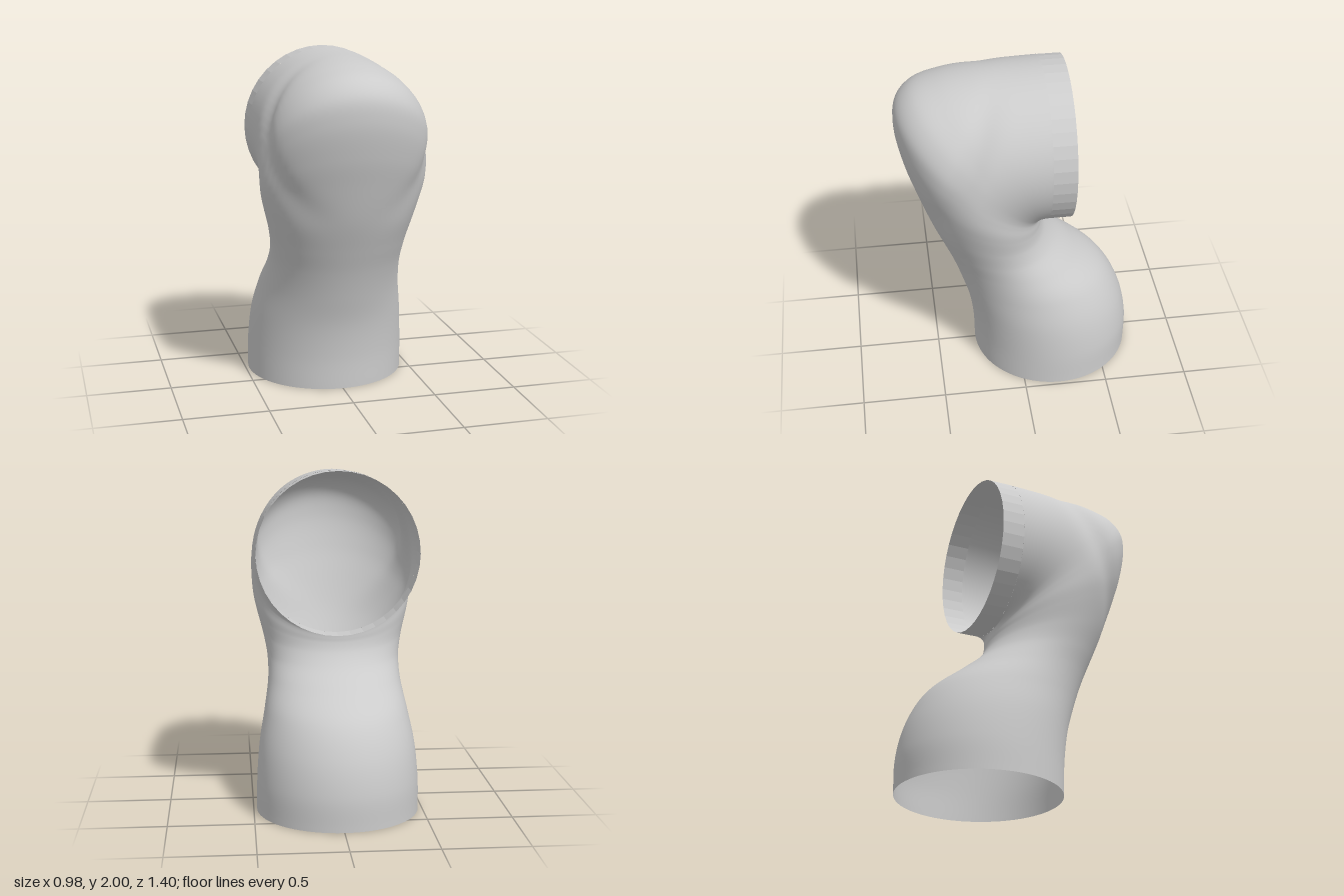
import * as THREE from 'three';

// Each row pairs a point on the outer (front) profile with one on the inner (back) profile:
// [outer z, outer y, inner z, inner y, half width]
const SECTIONS = [
  [0.262, 0, -0.698, 0, 0.48],
  [0.268, 0.2, -0.697, 0.2, 0.477],
  [0.295, 0.4, -0.65, 0.4, 0.46],
  [0.345, 0.58, -0.55, 0.58, 0.427],
  [0.4, 0.745, -0.36, 0.74, 0.4],
  [0.458, 0.89, -0.23, 0.85, 0.4],
  [0.537, 1.085, -0.17, 0.93, 0.425],
  [0.61, 1.31, -0.15, 0.985, 0.46],
  [0.66, 1.48, -0.147, 1.01, 0.48],
  [0.695, 1.68, -0.146, 1.025, 0.49],
  [0.68, 1.815, -0.146, 1.03, 0.492],
  [0.6, 1.905, -0.146, 1.035, 0.49],
  [0.447, 1.957, -0.146, 1.04, 0.485],
  [0.246, 1.985, -0.146, 1.045, 0.48],
  [0, 1.995, -0.147, 1.05, 0.477],
  [-0.15, 2, -0.15, 1.05, 0.475],
];

// Elliptical sections that fan round the inside of the bend
function elbowGeometry(rings = 120, sides = 72) {
  const outer = new THREE.CatmullRomCurve3(SECTIONS.map(s => new THREE.Vector3(s[4], s[1], s[0])));
  const inner = new THREE.CatmullRomCurve3(SECTIONS.map(s => new THREE.Vector3(s[4], s[3], s[2])));
  // Tilted plane where the rounded heel meets the tube
  const seamPoint = new THREE.Vector3(0, 1.55, 0.34);
  const seamNormal = new THREE.Vector3(0, 0.38, 0.9).normalize();
  const positions = [], indices = [];
  const p = new THREE.Vector3();

  for (let i = 0; i <= rings; i++) {
    const o = outer.getPoint(i / rings), n = inner.getPoint(i / rings);
    for (let j = 0; j < sides; j++) {
      const a = (j / sides) * Math.PI * 2;
      p.lerpVectors(n, o, 0.5 + 0.5 * Math.cos(a));
      p.x = o.x * Math.sin(a);
      // Shallow pinch on both flanks along the seam
      const d = p.clone().sub(seamPoint).dot(seamNormal) / 0.075;
      p.x *= 1 - 0.06 * Math.exp(-d * d);
      positions.push(p.x, p.y, p.z);
      if (i < rings) {
        const k = (j + 1) % sides, r0 = i * sides, r1 = r0 + sides;
        indices.push(r0 + j, r0 + k, r1 + j, r0 + k, r1 + k, r1 + j);
      }
    }
  }
  const geometry = new THREE.BufferGeometry();
  geometry.setAttribute('position', new THREE.Float32BufferAttribute(positions, 3));
  geometry.setIndex(indices);
  geometry.computeVertexNormals();
  return geometry;
}

export function createModel() {
  const group = new THREE.Group();
  group.name = 'pipeElbow';

  // Smooth hollow bend, open at both ends
  const elbow = new THREE.Mesh(
    elbowGeometry(),
    new THREE.MeshStandardMaterial({ color: 0xcccccc, side: THREE.DoubleSide })
  );
  elbow.name = 'elbowTube';

  // Faceted open collar round the rear opening
  const collar = new THREE.Mesh(
    new THREE.CylinderGeometry(0.475, 0.475, 0.135, 40, 1, true),
    new THREE.MeshStandardMaterial({ color: 0xcccccc, side: THREE.DoubleSide, flatShading: true })
  );
  collar.name = 'rearCollar';
  collar.rotation.x = Math.PI / 2;
  collar.position.set(0, 1.525, -0.2175);

  group.add(elbow, collar);
  return group;
}
